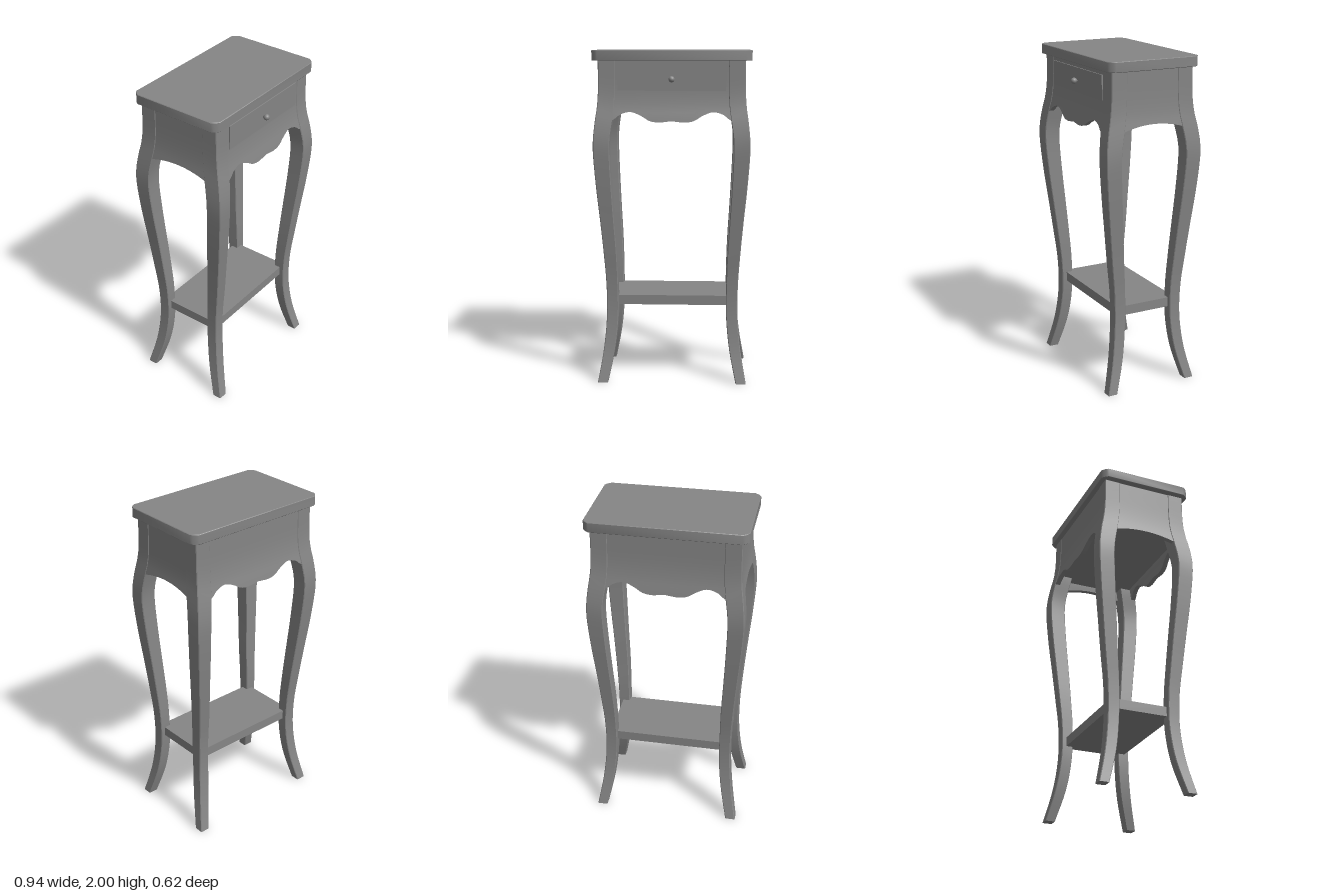
import * as THREE from 'three';
import { toCreasedNormals } from 'three/addons/utils/BufferGeometryUtils.js';

const material = new THREE.MeshStandardMaterial({ color: 0x858585 });

// Leg stations: height, inner x, outer x, inner z, outer z
const LEG = [
  [0, 0.388, 0.449, 0.236, 0.295], [0.2, 0.348, 0.415, 0.181, 0.248],
  [0.4, 0.328, 0.397, 0.156, 0.225], [0.6, 0.328, 0.398, 0.155, 0.227],
  [0.8, 0.334, 0.411, 0.169, 0.248], [1.0, 0.346, 0.428, 0.184, 0.27],
  [1.2, 0.357, 0.447, 0.2, 0.292], [1.4, 0.365, 0.461, 0.212, 0.308],
  [1.5, 0.362, 0.459, 0.207, 0.306], [1.6, 0.347, 0.448, 0.188, 0.291],
  [1.68, 0.337, 0.437, 0.173, 0.274], [1.78, 0.333, 0.432, 0.165, 0.264],
  [1.95, 0.333, 0.432, 0.163, 0.262],
];
// Smooth curve through [key, value] points, looked up by key
function curveLookup(points) {
  const samples = new THREE.SplineCurve(points.map(p => new THREE.Vector2(...p))).getPoints(points.length * 10);
  return key => {
    let i = samples.findIndex(s => s.x >= key);
    if (i < 0) i = samples.length - 1;
    if (i === 0) return samples[0].y;
    const a = samples[i - 1], b = samples[i];
    return THREE.MathUtils.mapLinear(Math.min(key, b.x), a.x, b.x, a.y, b.y);
  };
}
const [innerX, outerX, innerZ, outerZ] = [1, 2, 3, 4].map(k => curveLookup(LEG.map(r => [r[0], r[k]])));

function add(group, name, geometry, x = 0, y = 0, z = 0) {
  const mesh = new THREE.Mesh(geometry, material);
  mesh.name = name;
  mesh.position.set(x, y, z);
  group.add(mesh);
  return mesh;
}

// Curved leg lofted from square sections with finely cut edges
function legGeometry(sx, sz) {
  const rows = 40, n = 8, e = 0.004, pos = [], index = [];
  for (let i = 0; i <= rows; i++) {
    const y = 1.95 * i / rows;
    const a = innerX(y), b = outerX(y), c = innerZ(y), d = outerZ(y);
    for (const [x, z] of [[a + e, c], [b - e, c], [b, c + e], [b, d - e],
      [b - e, d], [a + e, d], [a, d - e], [a, c + e]]) pos.push(sx * x, y, sz * z);
  }
  const tri = (p, q, r) => (sx * sz > 0 ? index.push(p, q, r) : index.push(p, r, q));
  for (let i = 0; i < rows; i++) for (let j = 0; j < n; j++) {
    const p = i * n + j, q = i * n + (j + 1) % n;
    tri(p, p + n, q);
    tri(q, p + n, q + n);
  }
  const top = rows * n;
  for (let j = 1; j < n - 1; j++) {
    tri(0, j, j + 1);
    tri(top, top + j + 1, top + j);
  }
  const g = new THREE.BufferGeometry();
  g.setAttribute('position', new THREE.Float32BufferAttribute(pos, 3));
  g.setIndex(index);
  return toCreasedNormals(g, 0.5);
}

// Apron panel: shaped lower edge, face flaring out with the legs
function apronGeometry(half, bottom, face) {
  const g = new THREE.BoxGeometry(2 * half, 1, 1, 56, 14, 1);
  const p = g.attributes.position;
  for (let i = 0; i < p.count; i++) {
    const x = p.getX(i);
    const y = THREE.MathUtils.lerp(bottom(Math.abs(x)), 1.95, p.getY(i) + 0.5);
    p.setXYZ(i, x, y, face(y) - (p.getZ(i) > 0 ? 0.003 : 0.033));
  }
  return toCreasedNormals(g, 0.6);
}

// Table top with cut corners and a fine edge
function topGeometry() {
  const b = 0.003, w = 0.469 - b, d = 0.291 - b, c = 0.034;
  const s = new THREE.Shape();
  s.moveTo(w, -d + c);
  for (const [sx, sz] of [[1, 1], [-1, 1], [-1, -1], [1, -1]]) {
    const side = [sx * w, sz * (d - c)], end = [sx * (w - c), sz * d];
    const [from, to] = sx * sz > 0 ? [side, end] : [end, side];
    s.lineTo(...from);
    s.quadraticCurveTo(sx * (w - c * 0.35), sz * (d - c * 0.35), ...to);
  }
  const g = new THREE.ExtrudeGeometry(s, {
    depth: 0.06 - 2 * b, bevelEnabled: true, bevelThickness: b, bevelSize: b, bevelSegments: 1, curveSegments: 3,
  });
  g.rotateX(-Math.PI / 2);
  return toCreasedNormals(g, 0.6);
}

export function createModel() {
  const model = new THREE.Group();
  model.name = 'sideTable';

  add(model, 'tableTop', topGeometry(), 0, 1.943, 0);

  // Four mirrored legs
  for (const sx of [1, -1]) for (const sz of [1, -1]) {
    add(model, `${sz > 0 ? 'front' : 'back'}${sx > 0 ? 'Left' : 'Right'}Leg`, legGeometry(sx, sz));
  }

  // Scalloped front and back aprons, arched side aprons
  const scallop = curveLookup([[0, 1.59], [0.04, 1.585], [0.08, 1.582], [0.13, 1.591],
    [0.18, 1.62], [0.24, 1.642], [0.3, 1.628], [0.34, 1.598], [0.38, 1.586]]);
  const arch = z => 1.628 - 0.8 * z * z;
  const long = apronGeometry(0.37, scallop, outerZ);
  const short = apronGeometry(0.2, arch, outerX);
  add(model, 'frontApron', long);
  add(model, 'backApron', long).rotation.y = Math.PI;
  add(model, 'leftApron', short).rotation.y = Math.PI / 2;
  add(model, 'rightApron', short).rotation.y = -Math.PI / 2;

  // Panel closing the case from below
  add(model, 'casePanel', new THREE.BoxGeometry(0.81, 0.06, 0.48), 0, 1.69, 0);

  // Drawer front with round knob
  add(model, 'drawerFront', new THREE.BoxGeometry(0.635, 0.145, 0.03), 0, 1.838, 0.251);
  const stem = new THREE.CylinderGeometry(0.008, 0.008, 0.03, 16).rotateX(Math.PI / 2);
  add(model, 'knobStem', stem, 0, 1.833, 0.273);
  add(model, 'knob', new THREE.SphereGeometry(0.018, 20, 14), 0, 1.833, 0.285);

  // Lower shelf, corners let into the legs
  add(model, 'lowerShelf', new THREE.BoxGeometry(0.74, 0.058, 0.39), 0, 0.496, 0);

  return model;
}
